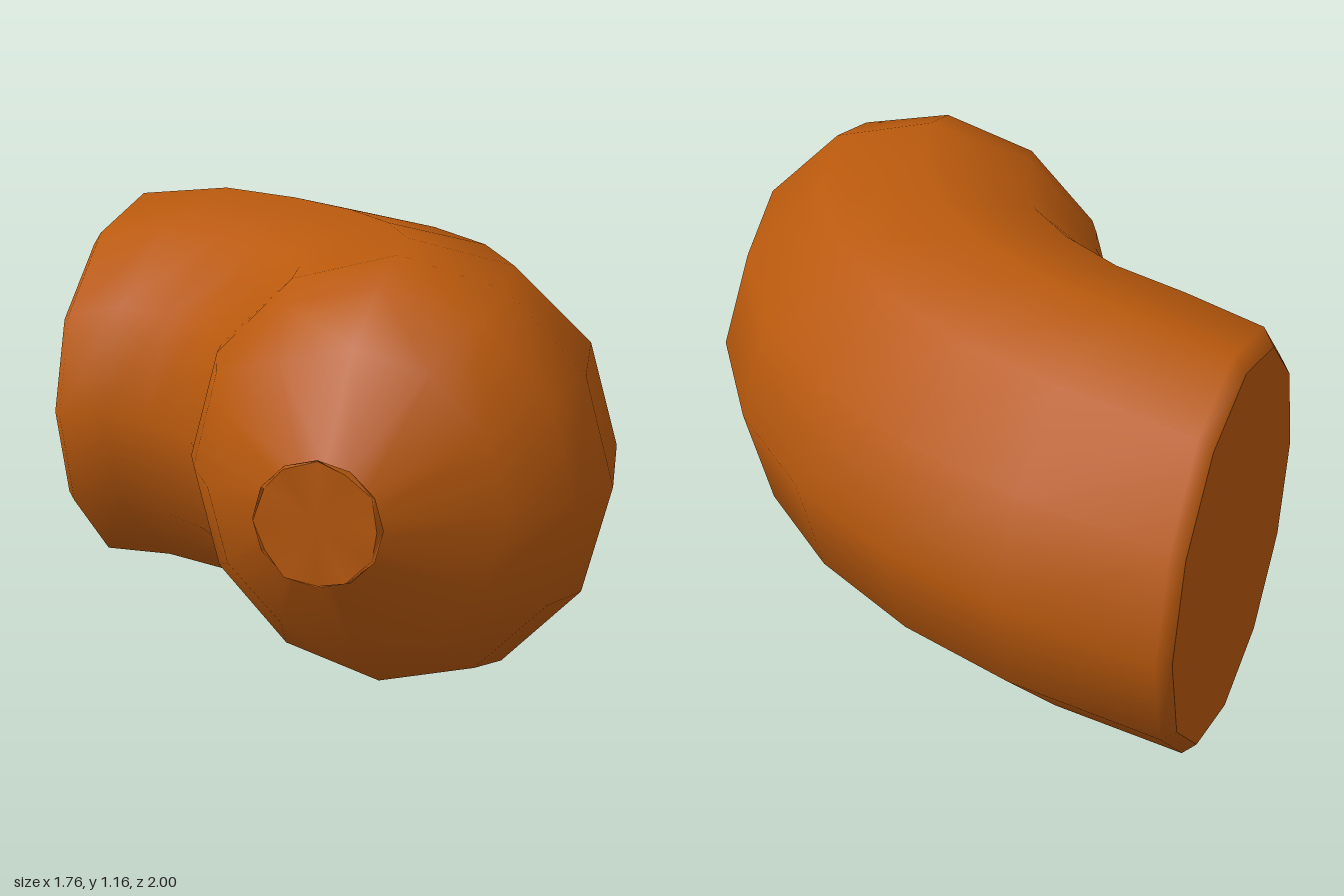
import * as THREE from 'three';

const SIDES = 12;

// One cross-section: outer point (ax, az), inner point (bx, bz), centre height and vertical radius.
// "crimp" pushes every other point backwards.
function ring([ax, az, bx, bz, cy, r], crimp = 0) {
  const cx = (ax + bx) / 2, cz = (az + bz) / 2;
  return Array.from({ length: SIDES }, (_, k) => {
    const t = (k / SIDES) * Math.PI * 2, c = Math.cos(t);
    return new THREE.Vector3(cx + c * (ax - cx), cy + Math.sin(t) * r, cz + c * (az - cz) - (k % 2) * crimp);
  });
}

function geometryFrom(points, index) {
  const g = new THREE.BufferGeometry().setFromPoints(points);
  g.setIndex(index);
  g.computeVertexNormals();
  return g;
}

// Smooth skin stretched over consecutive rings
function skin(rings) {
  const index = [];
  for (let i = 0; i < rings.length - 1; i++) {
    for (let k = 0; k < SIDES; k++) {
      const n = (k + 1) % SIDES, a = i * SIDES + k, b = i * SIDES + n;
      index.push(a, b, a + SIDES, b, b + SIDES, a + SIDES);
    }
  }
  return geometryFrom(rings.flat(), index);
}

// Fan closing a ring; "start" faces it backwards along the tube
function cap(points, start) {
  const centre = points.reduce((s, p) => s.add(p), new THREE.Vector3()).divideScalar(SIDES);
  const index = [];
  for (let k = 0; k < SIDES; k++) {
    const n = (k + 1) % SIDES;
    index.push(SIDES, start ? n : k, start ? k : n);
  }
  return geometryFrom([...points, centre], index);
}

export function createModel() {
  const group = new THREE.Group();
  group.name = 'sausageHalf';
  const casing = new THREE.MeshStandardMaterial({ color: 0xb9590d });
  casing.name = 'brownCasing';
  const add = (name, geometry) => {
    const mesh = new THREE.Mesh(geometry, casing);
    mesh.name = name;
    group.add(mesh);
  };

  // Curved body from the cut end to the tied neck
  const body = [
    [-0.885, -0.97, -0.885, 0.10, 0.56, 0.52],
    [-0.85, -1.0, -0.85, 0.14, 0.565, 0.56],
    [-0.41, -0.945, -0.70, 0.165, 0.592, 0.573],
    [-0.06, -0.82, -0.53, 0.22, 0.592, 0.573],
    [0.27, -0.63, -0.40, 0.30, 0.592, 0.573],
    [0.55, -0.37, -0.32, 0.37, 0.592, 0.573],
    [0.77, -0.03, -0.28, 0.43, 0.592, 0.573],
    [0.88, 0.38, -0.255, 0.50, 0.592, 0.573],
    [0.85, 0.60, -0.20, 0.60, 0.592, 0.525],
    [0.71, 0.73, -0.08, 0.77, 0.592, 0.395],
    [0.42, 0.89, 0.18, 0.90, 0.592, 0.122],
  ].map((s) => ring(s));
  add('body', skin(body));
  add('cutFace', cap(body[0], true));

  // Flared, crimped knot at the tied end
  const flare = ring([0.48, 0.965, 0.14, 0.98, 0.592, 0.162]);
  const rim = ring([0.47, 0.985, 0.15, 1.0, 0.592, 0.158], 0.022);
  add('knot', skin([body[body.length - 1], flare, rim]));
  add('knotEnd', cap(rim, false));

  return group;
}
